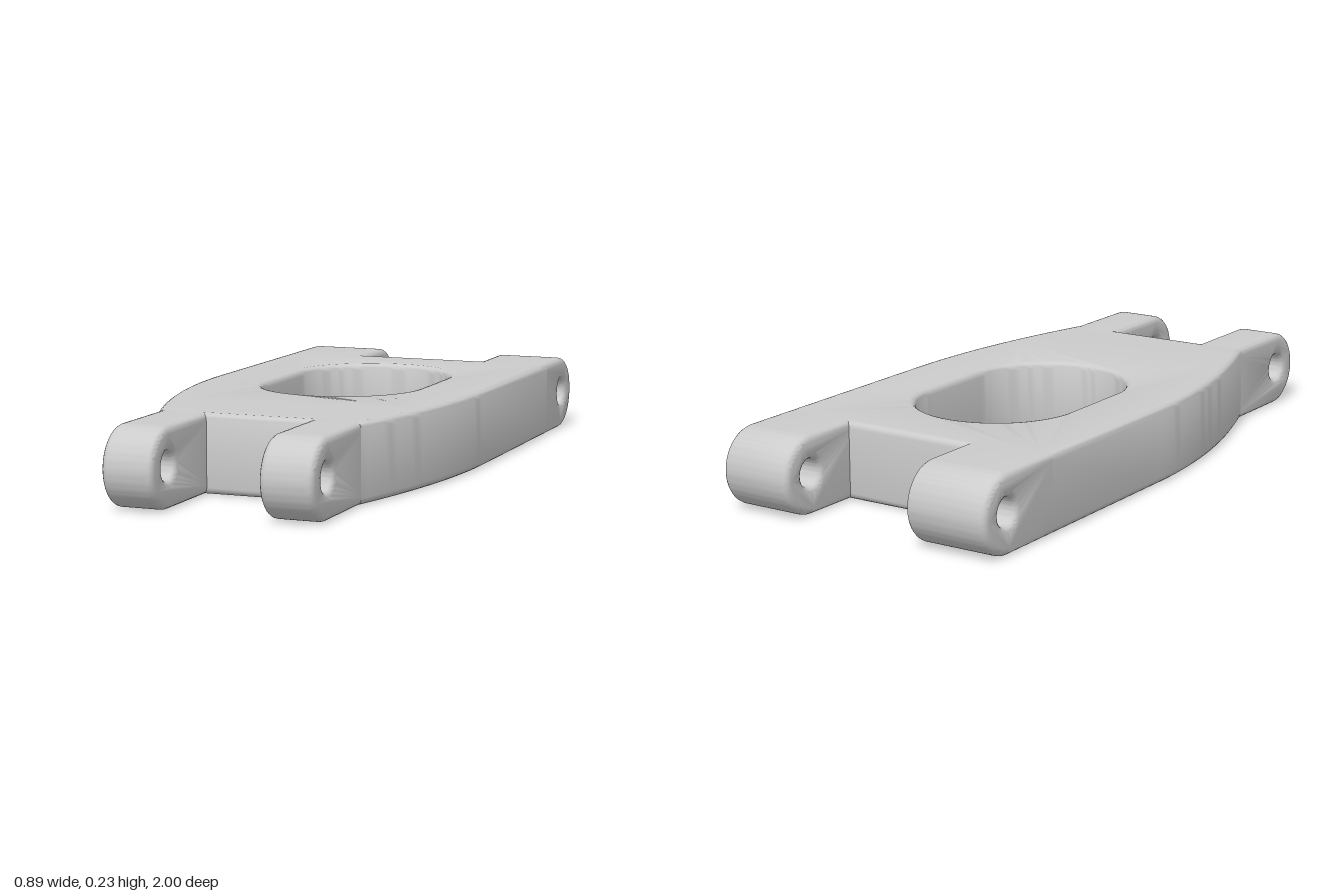
import * as THREE from 'three';
import { toCreasedNormals } from 'three/addons/utils/BufferGeometryUtils.js';

const TOP = 0.23, BEVEL = 0.02;
const material = new THREE.MeshStandardMaterial({ color: 0xcccccc });

// Extrudes a shape with rounded rims, keeping its outline and overall thickness exact
function roundedPlate(name, shape, thickness) {
  const geometry = new THREE.ExtrudeGeometry(shape, {
    depth: thickness - 2 * BEVEL, curveSegments: 24, bevelEnabled: true,
    bevelThickness: BEVEL, bevelSize: BEVEL, bevelOffset: -BEVEL, bevelSegments: 4,
  });
  const mesh = new THREE.Mesh(toCreasedNormals(geometry, 0.7), material);
  mesh.name = name;
  return mesh;
}

// Tapering plate with a long oval window
function createBody() {
  const s = new THREE.Shape();
  s.moveTo(-0.443, -0.72);
  s.lineTo(0.443, -0.72);
  s.lineTo(0.443, -0.1);
  s.quadraticCurveTo(0.443, 0.25, 0.325, 0.65);
  s.lineTo(-0.29, 0.65);
  s.quadraticCurveTo(-0.443, 0.25, -0.443, -0.1);
  s.closePath();
  const slot = new THREE.Path();
  slot.absarc(0, -0.04, 0.24, 0, Math.PI, false);
  slot.absarc(0, -0.29, 0.24, Math.PI, 2 * Math.PI, false);
  slot.closePath();
  s.holes.push(slot);
  const body = roundedPlate('body', s, TOP);
  body.rotation.x = Math.PI / 2;
  body.position.y = TOP - BEVEL;
  return body;
}

// Round-ended lug with a cross hole; dir is +1 at the front and -1 at the back
function createLug(name, xMin, xMax, dir, root) {
  const r = TOP / 2, zc = dir * (1 - r);
  const s = new THREE.Shape();
  s.moveTo(dir * root, 0);
  s.lineTo(zc, 0);
  s.absarc(zc, r, r, -Math.PI / 2, Math.PI / 2, dir < 0);
  s.lineTo(dir * root, TOP);
  s.closePath();
  const hole = new THREE.Path();
  hole.absarc(dir * 0.89, 0.12, 0.04, 0, 2 * Math.PI, false);
  s.holes.push(hole);
  const lug = roundedPlate(name, s, xMax - xMin);
  lug.rotation.y = -Math.PI / 2;
  lug.position.x = xMax - BEVEL;
  return lug;
}

export function createModel() {
  const model = new THREE.Group();
  model.name = 'linkArm';
  model.add(
    createBody(),
    createLug('frontRightLug', -0.29, -0.137, 1, 0.6),
    createLug('frontLeftLug', 0.17, 0.325, 1, 0.6),
    createLug('backRightLug', -0.443, -0.185, -1, 0.66),
    createLug('backLeftLug', 0.215, 0.443, -1, 0.66),
  );
  return model;
}
